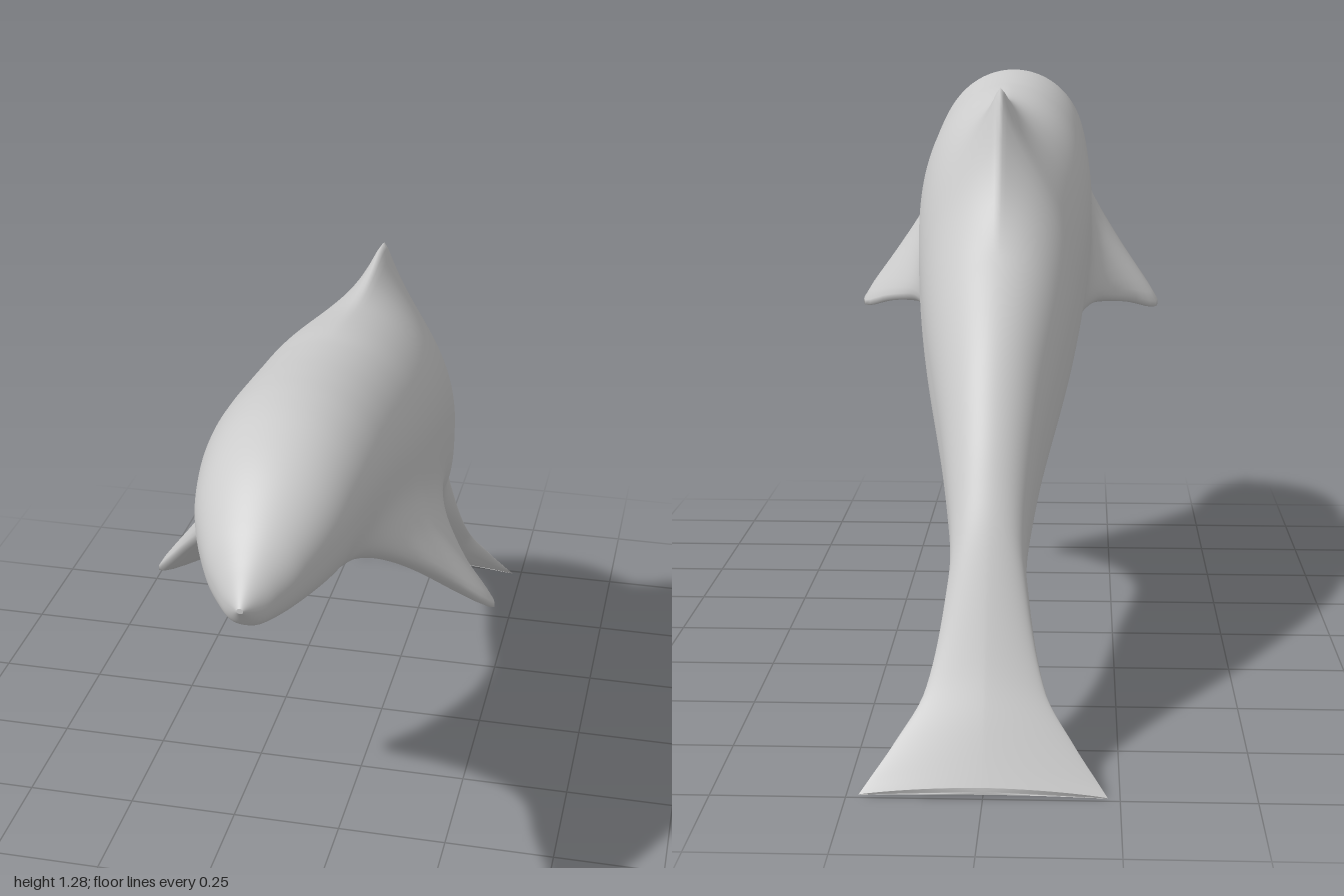
import * as THREE from 'three';

// Body profile: z, back height, belly height, half width
const BODY = [
  [1, 1.05, 1.04, 0.006], [0.97, 1.086, 1.0, 0.037], [0.95, 1.11, 0.99, 0.055],
  [0.9, 1.161, 0.982, 0.092], [0.8, 1.232, 0.967, 0.137], [0.7, 1.269, 0.952, 0.16],
  [0.6, 1.28, 0.925, 0.174], [0.5, 1.276, 0.885, 0.182], [0.4, 1.266, 0.835, 0.188],
  [0.3, 1.255, 0.79, 0.192], [0.2, 1.242, 0.755, 0.195], [0.1, 1.222, 0.725, 0.195],
  [0, 1.195, 0.69, 0.191], [-0.1, 1.16, 0.646, 0.184], [-0.2, 1.11, 0.602, 0.174],
  [-0.3, 1.04, 0.557, 0.16], [-0.4, 0.957, 0.512, 0.142], [-0.5, 0.86, 0.465, 0.121],
  [-0.6, 0.752, 0.412, 0.1], [-0.7, 0.615, 0.343, 0.081], [-0.75, 0.535, 0.3, 0.074],
  [-0.8, 0.445, 0.25, 0.075], [-0.9, 0.22, 0.128, 0.112], [-0.95, 0.125, 0.06, 0.167],
  [-0.985, 0.055, 0.022, 0.211], [-1, 0.025, 0.012, 0.228],
];
// Dorsal fin height along z
const DORSAL = [
  [0.3, 0], [0.1, 0.014], [0, 0.038], [-0.1, 0.083], [-0.2, 0.15], [-0.24, 0.173],
  [-0.262, 0.172], [-0.28, 0.133], [-0.3, 0.089], [-0.35, 0.032], [-0.42, 0],
];
// Flipper reach along z, 1 at the tip
const FLIPPER = [
  [0.74, 0], [0.65, 0.08], [0.55, 0.34], [0.45, 0.7], [0.39, 0.96], [0.355, 1],
  [0.28, 0.67], [0.17, 0.33], [0.1, 0.18], [0, 0.05], [-0.08, 0],
];

// Smooth interpolation of one column of a table sorted by falling z
function sample(table, z, col) {
  const last = table.length - 1;
  if (z >= table[0][0]) return table[0][col];
  if (z <= table[last][0]) return table[last][col];
  let k = 0;
  while (z < table[k + 1][0]) k++;
  const slope = (i) => {
    const a = table[Math.max(i - 1, 0)], b = table[Math.min(i + 1, last)];
    return (b[col] - a[col]) / (b[0] - a[0]);
  };
  const p = table[k], q = table[k + 1], d = q[0] - p[0], t = (z - p[0]) / d;
  const t2 = t * t, t3 = t2 * t;
  return (2 * t3 - 3 * t2 + 1) * p[col] + (t3 - 2 * t2 + t) * d * slope(k)
    + (3 * t2 - 2 * t3) * q[col] + (t3 - t2) * d * slope(k + 1);
}

const power = (v, p) => Math.sign(v) * Math.abs(v) ** p;

// One point of a cross-section; angle 0 is the back, +-PI the belly
function sectionPoint(z, angle) {
  const top = sample(BODY, z, 1), bottom = sample(BODY, z, 2), width = sample(BODY, z, 3);
  const side = Math.sign(angle), a = Math.abs(angle);
  // Round back, flatter belly on the trunk, lens-shaped flukes
  const fluke = THREE.MathUtils.smoothstep(-z, 0.76, 0.96);
  const belly = THREE.MathUtils.lerp(0.65, 0.82, THREE.MathUtils.smoothstep(z, 0.2, 0.6));
  const p = THREE.MathUtils.lerp(a < Math.PI / 2 ? 1 : belly, 1.4, fluke);
  let x = width * power(Math.sin(a), p);
  let y = (top + bottom) / 2 + (top - bottom) / 2 * power(Math.cos(a), p);
  // Dorsal fin: thin crest with flanks that spread into the back
  y += Math.max(0, sample(DORSAL, z, 1)) * Math.exp((0.03 - Math.hypot(a, 0.03)) / 0.36);
  // Flippers: the lower flank is drawn outward and down
  const off = a - 2.2;
  const pull = Math.max(0, sample(FLIPPER, z, 1)) * Math.exp(-((off / (off < 0 ? 0.25 : 0.3)) ** 2));
  x += 0.195 * pull;
  y -= 0.165 * pull;
  // Fluke tips droop and lie a little ahead of the middle
  const tip = fluke * (x / 0.228) ** 2;
  return [side * x, Math.max(0, y - 0.015 * tip), z + 0.013 * tip];
}

export function createModel() {
  const rings = 150, sides = 128, positions = [], index = [];
  for (let i = 0; i <= rings; i++) {
    const z = Math.cos(Math.PI * i / rings);
    for (let j = 0; j < sides; j++) {
      const angle = j / sides * Math.PI * 2;
      positions.push(...sectionPoint(z, angle > Math.PI ? angle - 2 * Math.PI : angle));
    }
  }
  for (let i = 0; i < rings; i++) {
    for (let j = 0; j < sides; j++) {
      const a = i * sides + j, b = i * sides + (j + 1) % sides;
      index.push(a, b, a + sides, b, b + sides, a + sides);
    }
  }
  // Close the snout and the trailing edge of the flukes
  const snout = positions.length / 3, tail = snout + 1, end = rings * sides;
  positions.push(0, 1.045, 1, 0, 0.018, -1);
  for (let j = 0; j < sides; j++) {
    const n = (j + 1) % sides;
    index.push(snout, n, j, tail, end + j, end + n);
  }

  const geometry = new THREE.BufferGeometry();
  geometry.setAttribute('position', new THREE.Float32BufferAttribute(positions, 3));
  geometry.setIndex(index);
  geometry.computeVertexNormals();

  const body = new THREE.Mesh(geometry, new THREE.MeshStandardMaterial({ color: 0xcccccc }));
  body.name = 'bodyWithFinsAndFlukes';
  const group = new THREE.Group();
  group.name = 'dolphin';
  group.add(body);
  return group;
}
